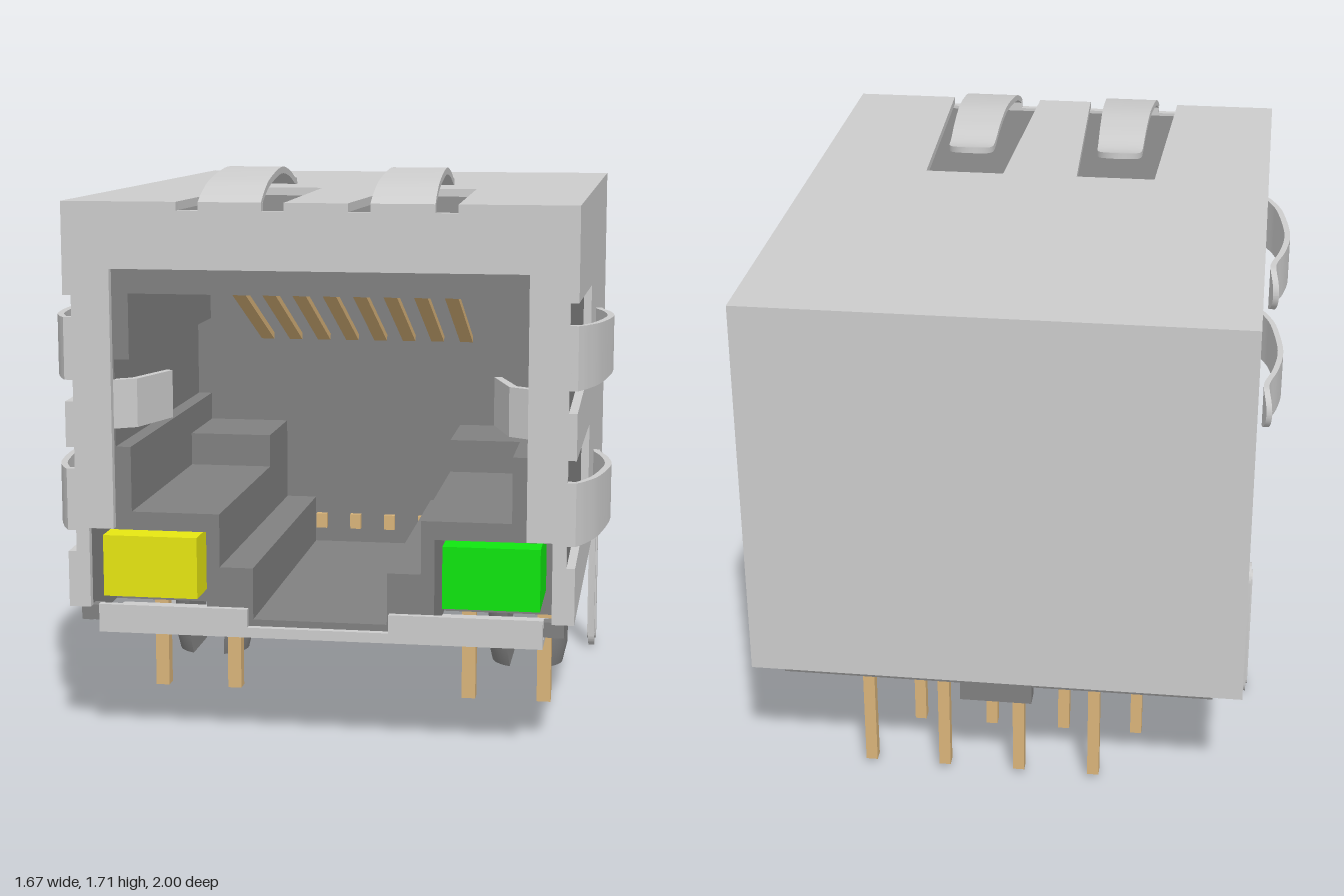
import * as THREE from 'three';
import { toCreasedNormals } from 'three/addons/utils/BufferGeometryUtils.js';

const mat = (color) => new THREE.MeshStandardMaterial({ color, side: THREE.DoubleSide });

export function createModel() {
  const root = new THREE.Group();
  const metal = mat(0xcccccc), plastic = mat(0x808080), gold = mat(0xd9b47a);
  const yellow = mat(0xe6e612), green = mat(0x10e610);

  const add = (name, geo, material, parent = root) => {
    const m = new THREE.Mesh(geo, material);
    m.name = name;
    parent.add(m);
    return m;
  };
  // box given by its limits
  const box = (name, material, x0, x1, y0, y1, z0, z1) => {
    const m = add(name, new THREE.BoxGeometry(x1 - x0, y1 - y0, z1 - z0), material);
    m.position.set((x0 + x1) / 2, (y0 + y1) / 2, (z0 + z1) / 2);
    return m;
  };
  const shapeOf = (pts) => new THREE.Shape(pts.map(([x, y]) => new THREE.Vector2(x, y)));
  const mirrored = (half) => [...half, ...half.map(([x, y]) => [-x, y]).reverse()];
  const extrude = (shape, depth) =>
    new THREE.ExtrudeGeometry(shape, { depth, bevelEnabled: false, curveSegments: 16 });

  // ---- shield: three walls with tapered slots open to the front ----
  const T = 0.025, sideSlots = [0.745, 1.195], topSlots = [-0.25, 0.25];
  const slottedWall = (u0, u1, centres) => {
    const pts = [[u0, -1], [u0, 1 - T]];
    for (const c of centres)
      pts.push([c - 0.157, 1 - T], [c - 0.128, 0.19], [c + 0.128, 0.19], [c + 0.157, 1 - T]);
    pts.push([u1, 1 - T], [u1, -1]);
    return extrude(shapeOf(pts), T);
  };
  const X = new THREE.Vector3(1, 0, 0), Y = new THREE.Vector3(0, 1, 0), Z = new THREE.Vector3(0, 0, 1);
  const topWall = slottedWall(-0.75, 0.75, topSlots);
  topWall.applyMatrix4(new THREE.Matrix4().makeBasis(X, Z, Y.clone().negate()));
  add('shieldTop', topWall, metal).position.y = 1.625;
  const sideWall = slottedWall(0.42, 1.6, sideSlots);
  sideWall.applyMatrix4(new THREE.Matrix4().makeBasis(Y, Z, X));
  add('shieldLeft', sideWall, metal).position.x = 0.75 - T;
  add('shieldRight', sideWall, metal).position.x = -0.75;
  box('shieldBack', metal, -0.725, 0.725, 0.42, 1.6, -1, -1 + T);

  // front frame, its outer edge notched beside each spring finger
  const notches = (centres, place) => centres.flatMap((c) =>
    [[-0.157, 0], [-0.157, T], [-0.0925, T], [-0.0925, 0], [0.0925, 0], [0.0925, T], [0.157, T], [0.157, 0]]
      .map(([u, d]) => place(c + u, d)));
  const halfFrame = [
    [0, 1.43], [0.61, 1.43], [0.61, 0.66], [0.685, 0.66], [0.685, 0.42], [0.75, 0.42],
    ...notches(sideSlots, (u, d) => [0.75 - d, u]),
    [0.75, 1.625],
    ...notches([0.25], (u, d) => [u, 1.625 - d]).reverse(),
    [0, 1.625],
  ];
  for (const s of [1, -1]) {
    const pts = halfFrame.map(([x, y]) => [s * x, y]);
    add('shieldFrontFrame', extrude(shapeOf(pts), T), metal).position.z = 1 - T;
  }

  // ---- spring fingers: a thin box bent along a curve, with a rounded tip ----
  const bend = new THREE.SplineCurve([[1, 0], [0.95, 0.027], [0.85, 0.06], [0.65, 0.086], [0.5, 0.072],
    [0.39, 0.044], [0.33, 0.043], [0.28, 0.055]].map(([z, h]) => new THREE.Vector2(z, h)));
  const finger = new THREE.BoxGeometry(2, 1, 1, 1, 1, 48);
  const pos = finger.attributes.position;
  for (let i = 0; i < pos.count; i++) {
    const s = 0.5 - pos.getZ(i);
    const p = bend.getPoint(1 - (1 - s) ** 1.5);
    const r = 0.075, k = Math.max(0, (0.28 + r - p.x) / r);
    const half = (0.073 + (p.x - 0.28) * 0.027) * Math.sqrt(Math.max(0, 1 - k * k));
    pos.setXYZ(i, pos.getX(i) * half, p.y - (pos.getY(i) > 0 ? 0 : 0.02), p.x);
  }
  finger.computeVertexNormals();
  for (const c of topSlots) add('topSpringFinger', finger, metal).position.set(c, 1.625, 0);
  for (const s of [1, -1])
    for (const c of sideSlots) {
      const f = add('sideSpringFinger', finger, metal);
      f.rotation.z = -s * Math.PI / 2;
      f.position.set(s * 0.75, c, 0);
    }

  // ---- shield: lower lip, inward tabs and ground pegs ----
  const lip = shapeOf(mirrored([[0.21, 0.375], [0.21, 0.43], [0.66, 0.43], [0.66, 0.345]]));
  add('frontLip', extrude(lip, 0.02), metal).position.z = 0.98;
  box('frontBottomPlate', metal, -0.66, 0.66, 0.345, 0.365, 0.72, 0.985);
  const tab = extrude(shapeOf([[0.63, 0.98], [0.55, 0.93], [0.49, 0.74], [0.51, 0.73], [0.57, 0.91], [0.63, 0.95]]), 0.145);
  tab.rotateX(Math.PI / 2);
  const stadium = (w, y0, y1) => {
    const s = new THREE.Shape(), r = w / 2;
    s.absarc(0, y1 - r, r, 0, Math.PI);
    s.absarc(0, y0 + r, r, Math.PI, Math.PI * 2);
    return s;
  };
  const peg = (w, y0, y1, d) => toCreasedNormals(extrude(stadium(w, y0, y1), d).rotateY(Math.PI / 2), 0.5);
  for (const s of [1, -1]) {
    const t = add('innerGroundTab', tab, metal);
    t.scale.x = s;
    t.position.y = 1.1;
    box('lipEar', plastic, s * 0.69 - 0.03, s * 0.69 + 0.03, 0.375, 0.42, 0.93, 0.975);
    add('groundPeg', peg(0.096, 0, 0.485, 0.02), metal).position.set(s * 0.75 - 0.01, 0, -0.305);
    add('groundPegRidge', peg(0.05, 0.025, 0.46, 0.03), metal).position.set(s * 0.75 - 0.015, 0, -0.305);
  }

  // ---- plastic housing: stepped socket in three lengthwise slices ----
  const slice = (z0, z1, shoulder, bays) => {
    const bay = bays ? [[0.69, 0.37], [0.69, 0.65], [0.34, 0.65], [0.34, 0.37]] : [];
    const shape = shapeOf(mirrored([[0.72, 1.595], [0.72, 0.37], ...bay]));
    shape.holes.push(shapeOf(mirrored([[0.565, 1.355], [0.565, 1.16], [0.61, 1.16], [0.61, 0.9], [0.565, 0.9],
      [0.565, shoulder], [0.3, shoulder], [0.3, 0.545], [0.2, 0.545], [0.2, 0.39]])));
    add('housing', extrude(shape, z1 - z0), plastic).position.z = z0;
  };
  slice(0.7, 0.96, 0.705, true);
  slice(0.2, 0.7, 0.705, false);
  slice(-0.1, 0.2, 0.81, false);
  box('housingBackWall', plastic, -0.72, 0.72, 0.38, 1.595, -0.19, -0.1);
  box('rearBase', plastic, -0.72, 0.72, 0.43, 0.5, -0.97, -0.19);
  box('rearBasePlate', plastic, -0.66, 0.66, 0.38, 0.43, -0.95, -0.6);
  box('rearStandoff', plastic, -0.11, 0.11, 0.33, 0.43, -0.965, -0.91);

  // indicator lights
  box('yellowLight', yellow, -0.65, -0.365, 0.45, 0.635, 0.71, 0.978);
  box('greenLight', green, 0.365, 0.65, 0.45, 0.635, 0.71, 0.978);

  // ---- locating posts: cylinder split by a slot, tapered at the foot ----
  const R = 0.135, a = Math.acos(0.06 / R);
  const dShape = new THREE.Shape();
  dShape.absarc(0, 0, R, -a, a);
  const prong = new THREE.ExtrudeGeometry(dShape, { depth: 0.28, steps: 4, bevelEnabled: false, curveSegments: 20 });
  prong.rotateX(Math.PI / 2);
  const pp = prong.attributes.position;
  for (let i = 0; i < pp.count; i++)
    if (pp.getY(i) < -0.27) pp.setXYZ(i, pp.getX(i) * 0.88, pp.getY(i), pp.getZ(i) * 0.82);
  const prongGeo = toCreasedNormals(prong, 0.5);
  for (const s of [1, -1]) {
    const post = new THREE.Group();
    post.name = 'locatingPost';
    post.position.set(s * 0.545, 0, -0.02);
    root.add(post);
    add('postBase', new THREE.CylinderGeometry(R, R, 0.1, 32), plastic, post).position.y = 0.34;
    for (const turn of [0, Math.PI]) {
      const p = add('postProng', prongGeo, plastic, post);
      p.position.y = 0.3;
      p.rotation.y = turn;
    }
    const rib = add('undersideRib', new THREE.CylinderGeometry(0.06, 0.06, 0.55, 24), plastic);
    rib.rotation.x = Math.PI / 2;
    rib.position.set(s * 0.51, 0.39, 0.275);
    for (const x of [0.385, 0.627])
      box('lightPin', gold, s * x - 0.022, s * x + 0.022, 0, 0.44, 0.348, 0.392);
  }

  // ---- signal pins in two staggered rows, and the socket contacts ----
  for (let i = 0; i < 8; i++) {
    const x = (i - 3.5) * 0.1178, z = i % 2 ? -0.86 : -0.62;
    box('signalPin', gold, x - 0.018, x + 0.018, 0.02, 0.44, z - 0.018, z + 0.018);
    if (i > 1 && i < 6) box('innerPin', gold, x - 0.018, x + 0.018, 0.44, 0.49, -0.11, -0.08);
    const contact = add('springContact', new THREE.BoxGeometry(0.042, 0.02, 0.6), gold);
    contact.position.set((i - 3.5) * 0.0955, 1.24, 0.32);
    contact.rotation.x = -Math.atan2(0.235, 0.55);
  }
  return root;
}
